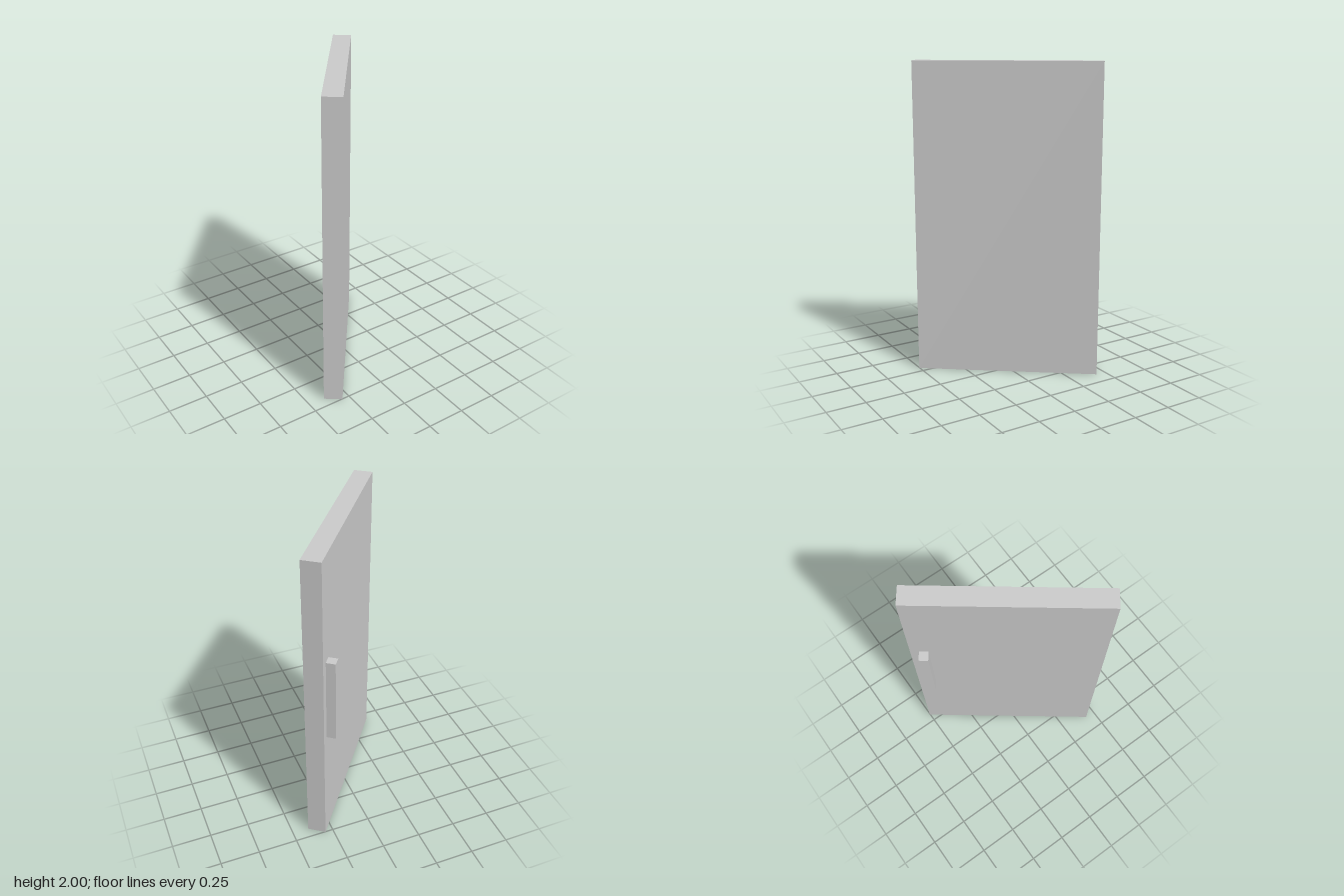
import * as THREE from 'three';

export function createModel() {
  const model = new THREE.Group();
  model.name = 'door';
  const material = new THREE.MeshStandardMaterial({ color: 0xcccccc, flatShading: true });

  const box = (name, size, position) => {
    const mesh = new THREE.Mesh(new THREE.BoxGeometry(...size), material);
    mesh.name = name;
    mesh.position.set(...position);
    return mesh;
  };

  // Door leaf and its bar handle, swung open about the vertical axis
  const width = 1.167, height = 2, thickness = 0.117, handleSize = 0.058;
  const swungDoor = new THREE.Group();
  swungDoor.name = 'swungDoor';
  swungDoor.rotation.y = 0.931;
  swungDoor.add(
    box('panel', [width, height, thickness], [0, height / 2, 0]),
    box('handle', [handleSize, 0.553, handleSize], [0.501, 1.053, -(thickness + handleSize) / 2]),
  );
  model.add(swungDoor);
  return model;
}
